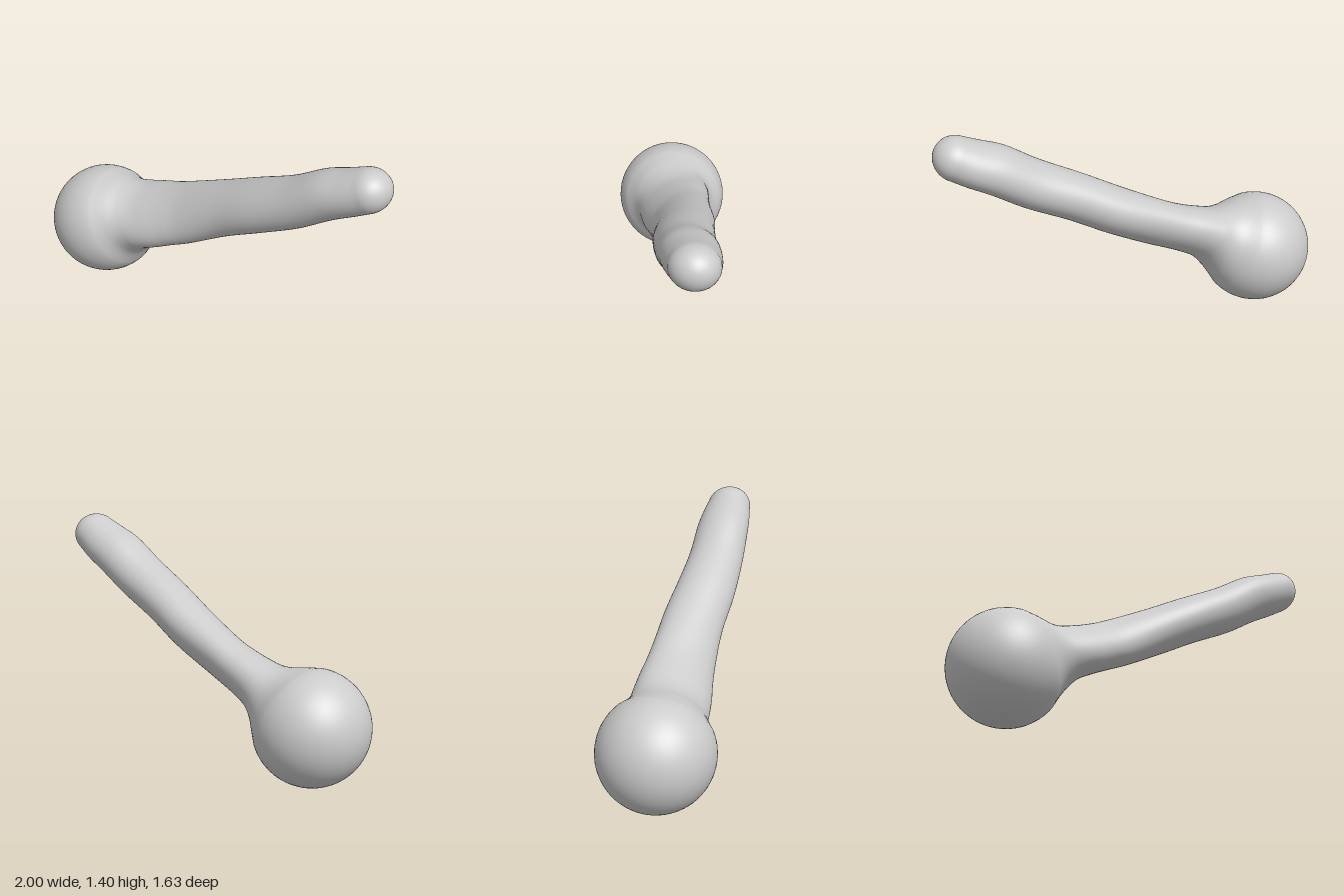
import * as THREE from 'three';

// Axis running from the ball centre to the tip, with two directions across it
const BALL = new THREE.Vector3(-0.65, 0.355, -0.465);
const BALL_R = 0.353;
const AXIS = new THREE.Vector3(1.52, 0.925, 1.145).normalize();
const U = new THREE.Vector3(-AXIS.y, AXIS.x, 0).normalize();
const V = new THREE.Vector3().crossVectors(AXIS, U);
const SIDES = 56;

// Handle cross-sections: [x on the axis, offset u, offset v, radius u, skew, radius v]
const SECTIONS = [
  [-0.54, 0, 0, 0.318, 0, 0.318],
  [-0.48, 0, 0, 0.262, 0, 0.264],
  [-0.43, -0.003, 0.002, 0.212, -0.015, 0.242],
  [-0.37, -0.005, 0.003, 0.172, -0.032, 0.236],
  [-0.29, -0.014, 0.003, 0.156, -0.044, 0.226],
  [-0.2, -0.025, 0, 0.148, -0.044, 0.211],
  [-0.1, -0.032, -0.003, 0.147, -0.043, 0.2],
  [0.1, -0.03, -0.008, 0.148, -0.01, 0.192],
  [0.3, -0.018, 0.01, 0.148, 0.001, 0.186],
  [0.5, -0.016, 0.016, 0.151, 0.014, 0.174],
  [0.67, 0.004, 0.004, 0.152, 0.022, 0.166],
  [0.78, 0, 0.001, 0.143, 0.022, 0.155],
  [0.86, 0, 0, 0.134, 0.012, 0.141],
];

// Every ring of the body, in the same layout as SECTIONS
function bodyRings() {
  const rings = [];
  // Ball, from its far pole to the neck
  const first = SECTIONS[0];
  const neck = Math.acos((first[0] - BALL.x) / AXIS.x / BALL_R);
  for (let i = 0; i < 28; i++) {
    const a = Math.PI + (neck - Math.PI) * (i / 28);
    const r = BALL_R * Math.sin(a);
    rings.push([BALL.x + BALL_R * Math.cos(a) * AXIS.x, 0, 0, r, 0, r]);
  }
  // Neck and uneven handle, smoothed through the sections
  const curve = (k) => new THREE.CatmullRomCurve3(
    SECTIONS.map((s) => new THREE.Vector3(s[k], s[k + 1], s[k + 2])), false, 'catmullrom', 0.5);
  const centres = curve(0), radii = curve(3);
  const steps = (SECTIONS.length - 1) * 6;
  for (let i = 0; i <= steps; i++) {
    rings.push([...centres.getPoint(i / steps).toArray(), ...radii.getPoint(i / steps).toArray()]);
  }
  // Rounded tip
  const end = SECTIONS[SECTIONS.length - 1];
  for (let i = 1; i <= 12; i++) {
    const a = (i / 12) * Math.PI / 2, c = Math.cos(a);
    rings.push([end[0] + 0.139 * Math.sin(a) * AXIS.x, 0, 0, end[3] * c, end[4] * c, end[5] * c]);
  }
  return rings;
}

// Closed skin through the rings
function skin(rings) {
  const positions = [], index = [];
  rings.forEach(([x, cu, cv, ru, skew, rv], i) => {
    for (let j = 0; j < SIDES; j++) {
      const a = (j / SIDES) * Math.PI * 2;
      const p = BALL.clone()
        .addScaledVector(AXIS, (x - BALL.x) / AXIS.x)
        .addScaledVector(U, cu + ru * Math.cos(a))
        .addScaledVector(V, cv + skew * Math.cos(a) + rv * Math.sin(a));
      positions.push(p.x, p.y, p.z);
      if (i === rings.length - 1) continue;
      const k = (j + 1) % SIDES;
      const a0 = i * SIDES + j, b0 = i * SIDES + k;
      index.push(a0, b0, b0 + SIDES, a0, b0 + SIDES, a0 + SIDES);
    }
  });
  const geometry = new THREE.BufferGeometry();
  geometry.setAttribute('position', new THREE.Float32BufferAttribute(positions, 3));
  geometry.setIndex(index);
  geometry.computeVertexNormals();
  // The rings at both poles shrink to a point, so their normals follow the axis
  const normals = geometry.attributes.normal;
  const last = (rings.length - 1) * SIDES;
  for (let j = 0; j < SIDES; j++) {
    normals.setXYZ(j, -AXIS.x, -AXIS.y, -AXIS.z);
    normals.setXYZ(last + j, AXIS.x, AXIS.y, AXIS.z);
  }
  return geometry;
}

export function createModel() {
  const group = new THREE.Group();
  group.name = 'ballWithHandle';
  const body = new THREE.Mesh(skin(bodyRings()), new THREE.MeshStandardMaterial({ color: 0xcccccc }));
  body.name = 'ballAndHandle';
  group.add(body);
  return group;
}
